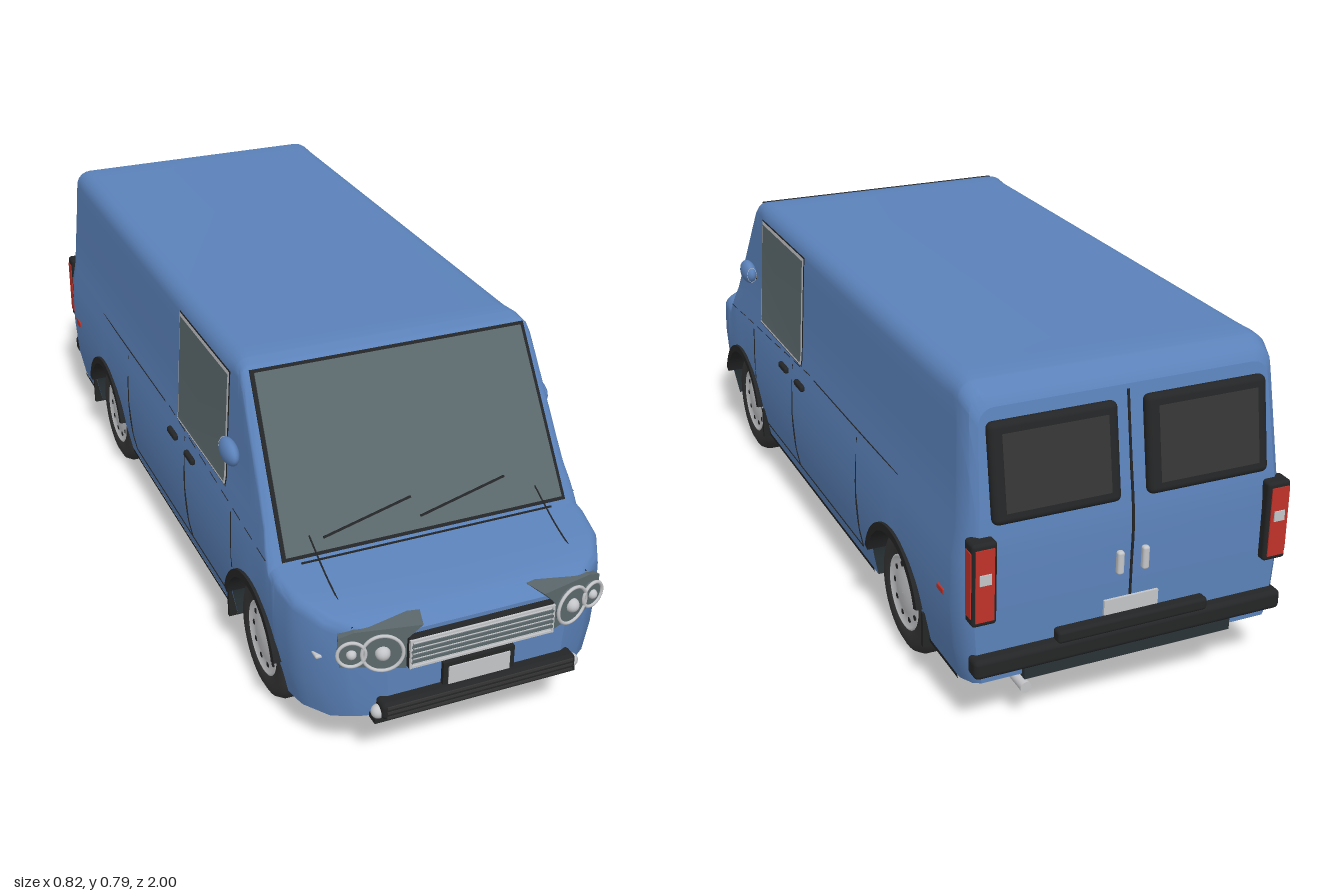
import * as THREE from 'three';
import { toCreasedNormals } from 'three/addons/utils/BufferGeometryUtils.js';
import { RoundedBoxGeometry } from 'three/addons/geometries/RoundedBoxGeometry.js';

const paint = (name, color, side = THREE.FrontSide) => {
  const m = new THREE.MeshStandardMaterial({ color, side });
  m.name = name;
  return m;
};
const V = (x, y, z) => new THREE.Vector3(x, y, z);

// Piecewise-linear lookup in [[key, value], ...]
function lookup(table, k) {
  if (k <= table[0][0]) return table[0][1];
  for (let i = 1; i < table.length; i++) {
    const [a, va] = table[i - 1], [b, vb] = table[i];
    if (k <= b) return va + (vb - va) * (k - a) / (b - a);
  }
  return table[table.length - 1][1];
}

// Body rules: side width by height; roof line, floor, corner radius and plan inset by length
const WIDTH = [[.1, .36], [.2, .38], [.3, .387], [.42, .384], [.48, .373], [.7, .361], [.79, .355]];
const ROOF = [[-.97, .74], [-.955, .765], [-.91, .782], [-.87, .786], [.45, .786], [.485, .778], [.5, .764], [.72, .41], [.85, .395], [.93, .378], [.97, .357]];
const FLOOR = [[-.97, .14], [-.9, .12], [-.8, .11], [.8, .11], [.9, .125], [.97, .15]];
const CORNER = [[-.97, .035], [-.8, .045], [.4, .045], [.49, .025], [.72, .025], [.97, .03]];
const INSET = [[-.97, .025], [-.955, .01], [-.91, 0], [.75, 0], [.83, .014], [.9, .052], [.94, .1], [.97, .17]];
const WHEELS = [.61, -.575], AXLE = .146, ARCH = .157;

const sideX = (y, z) => lookup(WIDTH, y) - lookup(INSET, z);
const lean = (y, z) => z + .17 * Math.max(0, y - .45) * Math.min(1, Math.max(0, (-z - .8) / .17));
function sillY(z) {
  let y = lookup(FLOOR, z);
  for (const w of WHEELS) {
    const d = Math.abs(z - w);
    if (d < ARCH) y = Math.max(y, AXLE + Math.sqrt(ARCH * ARCH - d * d));
  }
  return y;
}

// Skin through rows of points, skipping collapsed faces
function loft(rows, crease = .6) {
  const pos = [], n = new THREE.Vector3(), e = new THREE.Vector3();
  const tri = (a, b, c) => {
    n.subVectors(b, a).cross(e.subVectors(c, a));
    if (n.length() > 1e-9) for (const p of [a, b, c]) pos.push(p.x, p.y, p.z);
  };
  for (let i = 0; i + 1 < rows.length; i++) for (let j = 0; j + 1 < rows[i].length; j++) {
    const [a, b, c, d] = [rows[i][j], rows[i][j + 1], rows[i + 1][j + 1], rows[i + 1][j]];
    tri(a, b, c); tri(a, c, d);
  }
  const g = new THREE.BufferGeometry();
  g.setAttribute('position', new THREE.Float32BufferAttribute(pos, 3));
  return toCreasedNormals(g, crease);
}
const mirrored = p => V(-p.x, p.y, p.z);
const whole = half => [...half, ...half.slice(0, -1).reverse().map(mirrored)];

function skinHalf(z) {
  const top = lookup(ROOF, z), r = lookup(CORNER, z), low = sillY(z), pts = [];
  for (const l of [0, .15, .2, .3, .42, .48, .6, .7, 1]) {
    const y = Math.min(Math.max(l, low), top - r);
    pts.push(V(sideX(y, z), y, lean(y, z)));
  }
  const xc = sideX(top - r, z) - r;
  for (let k = 1; k <= 5; k++) {
    const a = k * Math.PI / 10, y = top - r + r * Math.sin(a);
    pts.push(V(xc + r * Math.cos(a), y, lean(y, z)));
  }
  pts.push(V(0, top, lean(top, z)));
  return pts;
}
function floorHalf(z) {
  const f = lookup(FLOOR, z), low = sillY(z), x = sideX(low, z), xi = Math.min(.265, x - .02);
  return [V(-x, low, z), V(-xi, low, z), V(-xi, f, z), V(0, f, z)];
}

export function createModel() {
  const van = new THREE.Group();
  van.name = 'van';
  const blue = paint('bodyBlue', 0x5b82ba, THREE.DoubleSide);
  const under = paint('underbodyDark', 0x2a3337, THREE.DoubleSide);
  const black = paint('trimBlack', 0x242526, THREE.DoubleSide);
  const rubber = paint('tyreRubber', 0x353535);
  const glass = paint('glassGrey', 0x5b686c, THREE.DoubleSide);
  const chrome = paint('chrome', 0xc4c5c8, THREE.DoubleSide);
  const red = paint('lampRed', 0xc03229);

  const add = (name, geo, mat, x = 0, y = 0, z = 0, parent = van) => {
    const m = new THREE.Mesh(geo, mat);
    m.name = name;
    m.position.set(x, y, z);
    parent.add(m);
    return m;
  };
  const box = (name, mat, w, h, d, x, y, z, parent = van) => add(name, new THREE.BoxGeometry(w, h, d), mat, x, y, z, parent);
  const soft = (name, mat, w, h, d, x, y, z, r = .012, parent = van) => add(name, new RoundedBoxGeometry(w, h, d, 3, r), mat, x, y, z, parent);
  const rod = (name, mat, pts, r) => add(name, new THREE.TubeGeometry(new THREE.CatmullRomCurve3(pts), pts.length * 4, r, 6), mat);
  const plate = (pts, depth) => new THREE.ExtrudeGeometry(new THREE.Shape(pts.map(p => new THREE.Vector2(...p))), { depth, bevelEnabled: false });
  const group = (name, x, y, z) => {
    const g = new THREE.Group();
    g.name = name;
    g.position.set(x, y, z);
    van.add(g);
    return g;
  };

  // Body shell, underbody with wheel wells, front and rear ends
  const stations = [ROOF, FLOOR, CORNER, INSET].flatMap(t => t.map(e => e[0]));
  for (const w of WHEELS) {
    for (let k = 0; k <= 18; k++) stations.push(w + ARCH * .9999 * Math.cos(k * Math.PI / 18));
    stations.push(w - ARCH - .001, w + ARCH + .001);
  }
  const zs = [...new Set(stations)].sort((a, b) => a - b);
  add('bodyShell', loft(zs.map(z => whole(skinHalf(z)))), blue);
  add('underbody', loft(zs.map(z => whole(floorHalf(z)))), under);
  add('nosePanel', loft(skinHalf(.97).map(p => [mirrored(p), p])), blue);
  add('rearPanel', loft(skinHalf(-.97).map(p => [p, mirrored(p)])), blue);

  // Windscreen with surround and wipers
  const screen = group('windscreen', 0, .595, .605);
  screen.rotation.x = -.556;
  const trap = (b, t, h) => plate([[-b, -h], [b, -h], [t, h], [-t, h]], .004);
  add('windscreenSurround', trap(.351, .338, .212), black, 0, 0, 0, screen);
  add('windscreenGlass', trap(.342, .329, .204), glass, 0, 0, .003, screen);
  for (const x of [-.14, .095]) box('wiper', black, .225, .005, .006, x, -.153, .012, screen).rotation.z = .21;
  box('cowlSeam', black, .62, .003, .004, 0, .411, .728);

  // Grille
  box('grilleBack', black, .345, .075, .035, 0, .31, .97);
  for (let i = 0; i < 6; i++) box('grilleSlat', i % 5 ? glass : chrome, .34, i % 5 ? .007 : .005, .008, 0, .277 + i * .0132, .989);
  for (let i = 0; i < 5; i++) box('grilleLine', chrome, .33, .0018, .008, 0, .2835 + i * .0132, .988);
  for (const s of [-1, 1]) box('grilleEnd', chrome, .005, .072, .008, s * .17, .31, .989);

  // Number plate and front bumper
  box('plateHolder', black, .172, .06, .02, 0, .225, .971);
  box('frontPlate', chrome, .148, .045, .004, 0, .222, .982);
  soft('frontBumper', black, .47, .042, .045, 0, .178, .977);
  for (let i = 0; i < 3; i++) box('bumperRib', rubber, .45, .006, .006, 0, .166 + i * .012, .998);
  box('frontLip', black, .49, .012, .03, 0, .147, .965);

  // Rear bumper, plate, door seam and exhaust
  soft('rearBumper', black, .74, .046, .045, 0, .188, -.975);
  soft('rearBumperPad', black, .36, .03, .03, 0, .222, -.983, .008);
  box('rearValance', under, .5, .035, .02, 0, .15, -.972);
  box('rearPlate', chrome, .13, .035, .006, 0, .258, -.976);
  rod('rearDoorSeam', black, [.24, .35, .45, .6, .73].map(y => V(0, y, lean(y, -.971))), .003);
  const pipe = add('exhaust', new THREE.CylinderGeometry(.013, .013, .12, 16), chrome, .235, .095, -.9);
  pipe.rotation.x = Math.PI / 2;

  // Thin panel that follows the curve of the side
  const sidePanel = (s, z0, z1, y0, y1, off) => {
    const ys = [y0, ...WIDTH.map(e => e[0]).filter(y => y > y0 && y < y1), y1];
    return loft(ys.map(y => [z0, z1].map(z => V(s * (sideX(y, z) + off), y, z))));
  };
  const seam = (s, pts, r = .002) => rod('panelSeam', black, pts.map(([z, y]) => V(s * sideX(y, z), y, lean(y, z))), r);

  const tyreProfile = [[.08, .03], [.09, .04], [.122, .042], [.138, .034], [.146, .018], [.146, -.018], [.138, -.034], [.122, -.042], [.08, -.04]].map(p => new THREE.Vector2(...p)).reverse();
  const hubProfile = [[.088, .028], [.09, .039], [.083, .041], [.076, .033], [.05, .037], [.03, .041], [.001, .042]].map(p => new THREE.Vector2(...p));
  const flare = new THREE.Shape();
  flare.absarc(0, 0, .169, .3, Math.PI - .3, false);
  flare.absarc(0, 0, .15, Math.PI - .3, .3, true);
  const flareGeo = new THREE.ExtrudeGeometry(flare, { depth: .058, bevelEnabled: false, curveSegments: 24 });

  for (const s of [1, -1]) {
    // Wheels, arches and mud flaps
    for (const wz of WHEELS) {
      const wheel = group('wheel', s * .32, AXLE, wz);
      wheel.rotation.y = s > 0 ? 0 : Math.PI;
      add('tyre', new THREE.LatheGeometry(tyreProfile, 40), rubber, 0, 0, 0, wheel).rotation.z = -Math.PI / 2;
      add('hubcap', new THREE.LatheGeometry(hubProfile, 32), chrome, 0, 0, 0, wheel).rotation.z = -Math.PI / 2;
      add('innerDisc', new THREE.CylinderGeometry(.085, .085, .05, 24), black, -.012, 0, 0, wheel).rotation.z = Math.PI / 2;
      for (let k = 0; k < 10; k++) {
        const a = k * Math.PI / 5;
        add('hubSlot', new THREE.CylinderGeometry(.007, .007, .006, 8), black, .033, .066 * Math.sin(a), .066 * Math.cos(a), wheel).rotation.z = Math.PI / 2;
      }
      add('archTrim', flareGeo, black, s > 0 ? .336 : -.394, AXLE, wz).rotation.y = Math.PI / 2;
      box('mudFlap', black, .09, .085, .01, s * .338, .148, wz - .166);
    }

    // Side window, door seams, handles and sill
    add('sideWindowSeal', sidePanel(s, .077, .433, .457, .748, .0015), black);
    add('sideWindowFrame', sidePanel(s, .08, .43, .46, .745, .003), chrome);
    add('sideWindowGlass', sidePanel(s, .087, .423, .466, .737, .0045), glass);
    seam(s, [[.483, .27], [.483, .34], [.483, .42]]);
    for (const z of [.145, -.34]) seam(s, [[z, .15], [z, .2], [z, .3], [z, .44]]);
    seam(s, [[.44, .148], [-.34, .148]]);
    seam(s, [[-.02, .457], [-.5, .457], [-.95, .457]], .0015);
    for (let k = 0; k < 9; k++) seam(s, [[.7 - k * .08, .42 + k * .0045], [.65 - k * .08, .4225 + k * .0045]], .0012);
    for (const z of [.2, .068]) soft('doorHandle', black, .014, .017, .058, s * .389, .412, z, .006);
    add('sill', sidePanel(s, -.4, .44, .108, .12, .003), black);
    add('rearSill', sidePanel(s, -.9, -.745, .115, .127, .003), black);
    add('sideMarker', sidePanel(s, -.875, -.84, .308, .325, .004), red).material = red;
    soft('sideMarkerLamp', red, .008, .014, .034, s * .386, .316, -.857, .003);
    soft('frontMarker', chrome, .02, .009, .028, s * .338, .288, .886, .004);

    // Door mirror
    const mirror = add('mirror', new THREE.SphereGeometry(1, 24, 16), blue, s * .389, .585, .495);
    mirror.scale.set(.019, .03, .046);
    box('mirrorArm', black, .03, .01, .02, s * .375, .568, .495);
    const face = add('mirrorGlass', new THREE.CircleGeometry(1, 20), chrome, s * .389, .585, .46);
    face.scale.set(.013, .021, 1);
    face.rotation.y = Math.PI;

    // Headlamps
    const lamp = group('headlamp', s * .225, .318, .966);
    lamp.rotation.y = s * .3;
    const outline = [[-.052, -.047], [.09, -.037], [.094, .037], [.06, .05], [-.085, .062], [-.052, .028]].map(([x, y]) => [x * s, y]);
    add('lampPanel', plate(outline, .055), glass, 0, 0, -.055, lamp);
    for (const [x, r] of [[0, .044], [.066, .03]]) {
      add('lampRing', new THREE.TorusGeometry(r, .004, 8, 32), chrome, s * x, 0, .008, lamp);
      add('lampLens', new THREE.CylinderGeometry(r, r, .014, 28), glass, s * x, 0, 0, lamp).rotation.x = Math.PI / 2;
      add('lampBulb', new THREE.SphereGeometry(r * .38, 16, 12), chrome, s * x, 0, .007, lamp);
    }
    rod('hoodRod', black, [V(s * .28, .37, .935), V(s * .28, .41, .8), V(s * .28, .458, .695)], .002);
    add('bumperEnd', new THREE.SphereGeometry(.016, 16, 12), chrome, s * .236, .17, .975);

    // Rear windows, handles and tail lamps
    const win = group('rearWindow', s * .177, .608, lean(.608, -.972));
    win.rotation.x = .168;
    soft('rearWindowFrame', black, .29, .215, .03, 0, 0, -.004, .014, win);
    box('rearWindowGlass', rubber, .238, .165, .004, 0, 0, -.0195, win);
    soft('rearHandle', chrome, .016, .055, .016, s * .03, .36, -.976, .006);
    soft('tailLampHousing', black, .056, .19, .045, s * .347, .385, -.969, .008);
    box('tailLampLens', red, .042, .165, .008, s * .348, .385, -.99);
    box('tailLampSide', red, .006, .15, .026, s * .374, .385, -.972);
    box('reverseLamp', chrome, .026, .024, .004, s * .348, .4, -.9945);
  }
  return van;
}
